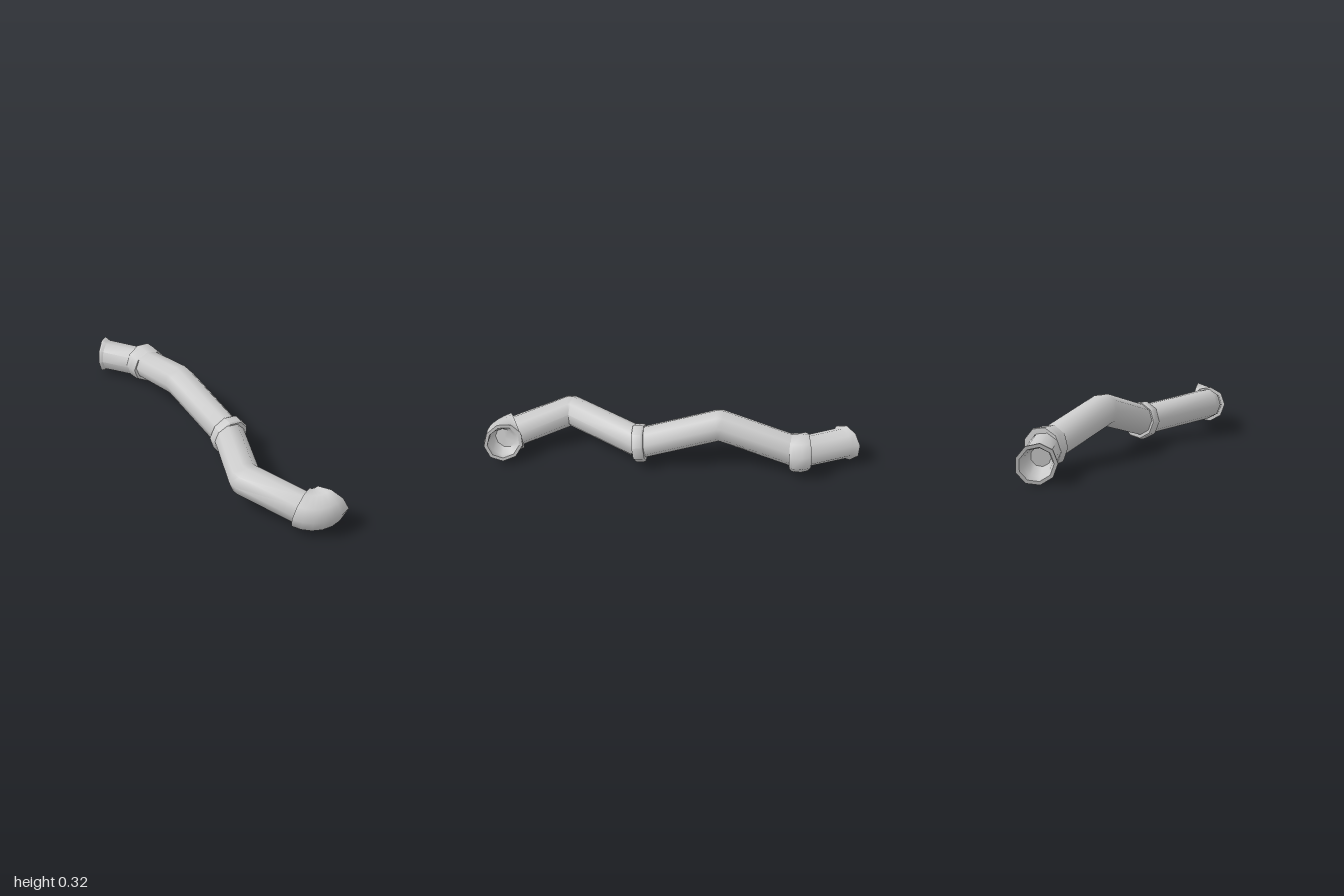
import * as THREE from 'three';
import { toCreasedNormals } from 'three/addons/utils/BufferGeometryUtils.js';

const SIDES = 9;
const V = (x, y, z) => new THREE.Vector3(x, y, z);
const UP = V(0, 1, 0);
const ring = (c, d, r) => ({ c, d: d.clone().normalize(), r });

// Skin a list of rings {centre, direction, radius}; directions run front to rear.
function loft(name, rings) {
  const pos = [], index = [];
  for (const { c, d, r } of rings) {
    const side = UP.clone().cross(d).normalize();
    const up = d.clone().cross(side);
    for (let j = 0; j < SIDES; j++) {
      const a = (j / SIDES) * Math.PI * 2;
      const p = c.clone().addScaledVector(side, r * Math.cos(a)).addScaledVector(up, r * Math.sin(a));
      pos.push(p.x, p.y, p.z);
    }
  }
  for (let i = 0; i < rings.length - 1; i++) {
    for (let j = 0; j < SIDES; j++) {
      const k = (j + 1) % SIDES, a = i * SIDES, b = a + SIDES;
      if (rings[i].r > 0) index.push(a + j, a + k, b + j);
      if (rings[i + 1].r > 0) index.push(a + k, b + k, b + j);
    }
  }
  const geo = new THREE.BufferGeometry();
  geo.setAttribute('position', new THREE.Float32BufferAttribute(pos, 3));
  geo.setIndex(index);
  const mesh = new THREE.Mesh(toCreasedNormals(geo, 0.85),
    new THREE.MeshStandardMaterial({ color: 0xcccccc }));
  mesh.name = name;
  return mesh;
}

// Pipe from a to c with a slightly eased bend at b.
function bentPipe(name, a, b, c, r) {
  const d1 = b.clone().sub(a).normalize(), d2 = c.clone().sub(b).normalize();
  const mix = (t) => d1.clone().lerp(d2, t);
  const e = 0.012;
  return loft(name, [
    ring(a, d1, r),
    ring(b.clone().addScaledVector(d1, -e), mix(0.35), r * 1.02),
    ring(b.clone().addScaledVector(d2, e), mix(0.65), r * 1.02),
    ring(c, d2, r),
  ]);
}

export function createModel() {
  const group = new THREE.Group();
  const R = 0.084;

  // Key points of the centre line
  const elbowEnd = V(0.02, 0.112, 0.845);
  const bend1 = V(-0.125, 0.166, 0.577);
  const joint1 = V(0.052, 0.114, 0.17);
  const bend2 = V(0.006, 0.238, -0.25);
  const joint2 = V(0.034, 0.114, -0.68);
  const mouth = V(-0.11, 0.094, -0.93);

  // Front elbow: quarter bend with a recessed mouth
  const d = elbowEnd.clone().sub(bend1).normalize();
  const m = V(0.85, 0.3, -0.43);
  m.addScaledVector(d, -m.dot(d)).normalize();
  const bendR = 0.1;
  const arc = (t, r) => {
    const a = t * Math.PI / 2;
    const c = elbowEnd.clone()
      .addScaledVector(m, bendR * (1 - Math.cos(a)))
      .addScaledVector(d, bendR * Math.sin(a));
    const dir = d.clone().multiplyScalar(-Math.cos(a)).addScaledVector(m, -Math.sin(a));
    return ring(c, dir, r);
  };
  const elbow = [arc(0.6, 0), arc(0.6, 0.057), arc(0.85, 0.08), arc(1, 0.087), arc(1, 0.105)];
  for (let i = 5; i >= 0; i--) elbow.push(arc(i / 6, 0.103));
  elbow.push(arc(0, 0.07));
  group.add(loft('frontElbow', elbow));

  // Two long bent pipes
  group.add(bentPipe('frontPipe', elbowEnd, bend1, joint1, R));
  group.add(bentPipe('rearPipe', joint1, bend2, joint2, R));

  // Bevelled collar between the pipes
  const axis = V(-0.02, 0.1, -1).normalize();
  group.add(loft('middleCollar',
    [[-0.03, 0.07], [-0.03, 0.098], [-0.021, 0.105], [0.021, 0.105], [0.03, 0.098], [0.03, 0.07]]
      .map(([t, r]) => ring(joint1.clone().addScaledVector(axis, t), axis, r))));

  // Rear collar, wider and slightly bent
  const cA = V(0.034, 0.116, -0.632), cB = V(0.024, 0.12, -0.728);
  const dA = V(0.05, 0.06, -1), dB = V(-0.16, 0.03, -1);
  group.add(loft('rearCollar', [
    ring(cA, dA, 0.07), ring(cA, dA, 0.099),
    ring(V(0.036, 0.114, -0.648), dA, 0.105),
    ring(V(0.034, 0.113, -0.69), V(-0.05, 0.05, -1), 0.106),
    ring(V(0.026, 0.118, -0.718), dB, 0.105),
    ring(cB, dB, 0.1), ring(cB, dB, 0.07),
  ]));

  // End pipe with flared lip and tapering bore
  const dir = mouth.clone().sub(joint2).normalize();
  const face = V(-0.7, -0.05, -0.7);
  const back = (t) => mouth.clone().addScaledVector(dir, -t);
  group.add(loft('endPipe', [
    ring(joint2, dir, R),
    ring(back(0.03), V(-0.65, -0.05, -0.76), 0.087),
    ring(back(0.01), face, 0.1), ring(mouth, face, 0.1),
    ring(mouth, face, 0.082), ring(back(0.03), face, 0.07),
    ring(back(0.13), dir, 0.05), ring(back(0.13), dir, 0),
  ]));
  return group;
}
